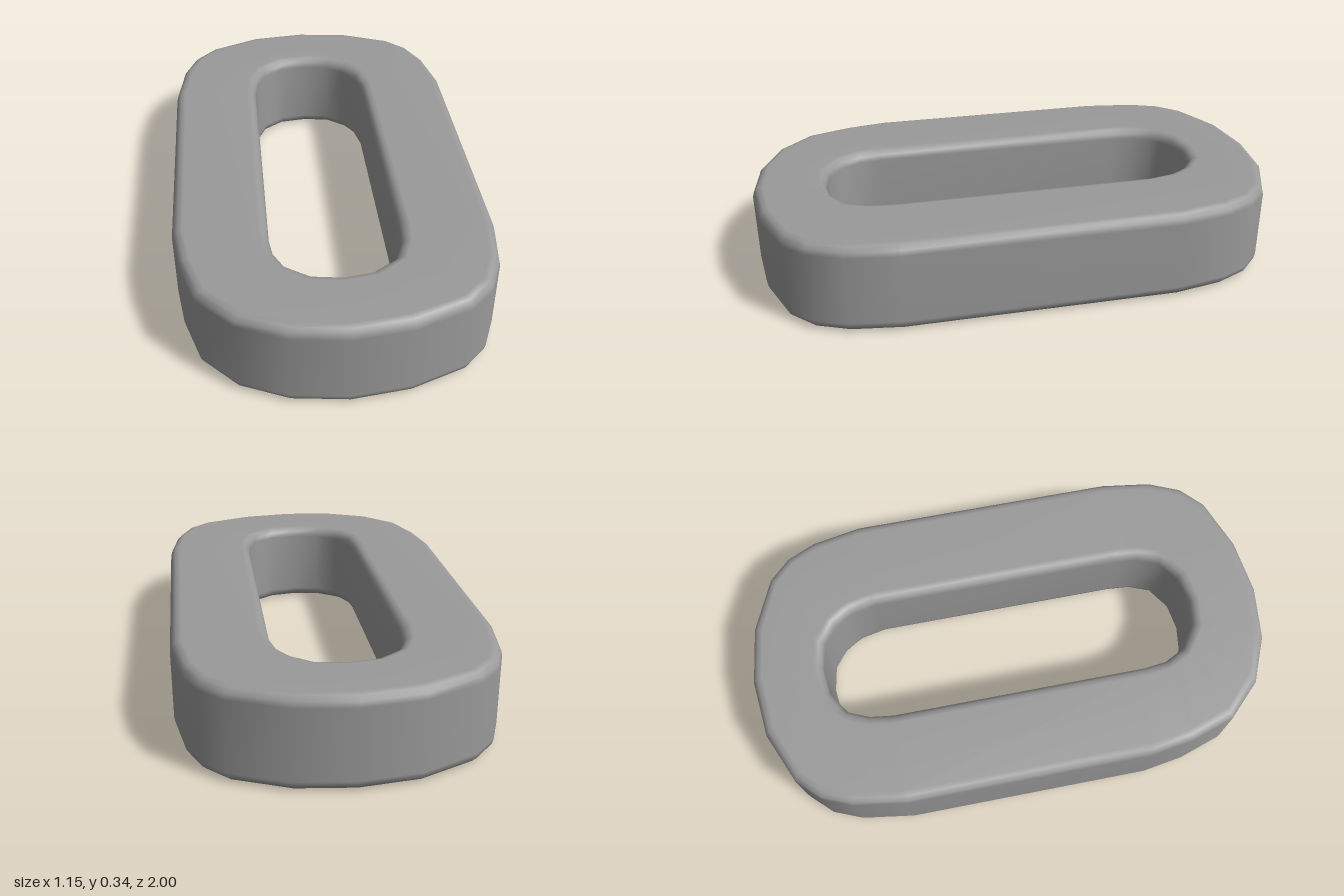
import * as THREE from 'three';

const HEIGHT = 0.34;
const BEVEL = 0.04;
const STEPS = 3;

// Matching outer and inner outline points [x, z], running from the back round by +x
const OUTER = [
  [0, -1], [0.21, -0.975], [0.41, -0.89], [0.49, -0.81], [0.54, -0.7], [0.575, -0.51],
  [0.575, 0.51], [0.547, 0.7], [0.495, 0.82], [0.41, 0.9], [0.21, 0.975], [0, 1],
  [-0.2, 0.975], [-0.37, 0.9], [-0.495, 0.77], [-0.55, 0.6], [-0.575, 0.44],
  [-0.575, -0.49], [-0.545, -0.69], [-0.5, -0.8], [-0.42, -0.885], [-0.22, -0.975],
];
const INNER = [
  [0, -0.727], [0.1, -0.71], [0.165, -0.66], [0.19, -0.622], [0.21, -0.587], [0.23, -0.49],
  [0.23, 0.48], [0.223, 0.57], [0.19, 0.655], [0.15, 0.68], [0.105, 0.71], [0, 0.725],
  [-0.1, 0.71], [-0.145, 0.68], [-0.185, 0.655], [-0.223, 0.58], [-0.234, 0.49],
  [-0.234, -0.49], [-0.222, -0.58], [-0.187, -0.66], [-0.15, -0.685], [-0.105, -0.715],
];

// Rounded rectangular section: [distance in from the outer or inner wall, y, wall]
function sectionPoints() {
  const points = [];
  const corner = (wall, top, start) => {
    for (let s = 0; s <= STEPS; s++) {
      const a = (Math.PI / 2) * (start ? 1 - s / STEPS : s / STEPS);
      const inset = BEVEL * (1 - Math.cos(a));
      const drop = BEVEL * (1 - Math.sin(a));
      points.push([inset, top ? HEIGHT - drop : drop, wall]);
    }
  };
  corner('outer', false, true);
  corner('outer', true, false);
  corner('inner', true, true);
  corner('inner', false, false);
  return points;
}

// Sweep the section round the paired outlines
function linkGeometry() {
  const section = sectionPoints();
  const n = OUTER.length;
  const m = section.length;
  const positions = [];
  const indices = [];
  for (let i = 0; i < n; i++) {
    const out = new THREE.Vector2(...OUTER[i]);
    const inn = new THREE.Vector2(...INNER[i]);
    const across = inn.clone().sub(out).normalize();
    for (const [inset, y, wall] of section) {
      const p = wall === 'outer'
        ? out.clone().addScaledVector(across, inset)
        : inn.clone().addScaledVector(across, -inset);
      positions.push(p.x, y, p.y);
    }
    for (let j = 0; j < m; j++) {
      const a = i * m + j;
      const b = i * m + ((j + 1) % m);
      const c = ((i + 1) % n) * m + j;
      const d = ((i + 1) % n) * m + ((j + 1) % m);
      indices.push(a, b, c, b, d, c);
    }
  }
  const geometry = new THREE.BufferGeometry();
  geometry.setAttribute('position', new THREE.Float32BufferAttribute(positions, 3));
  geometry.setIndex(indices);
  geometry.computeVertexNormals();
  return geometry;
}

export function createModel() {
  const group = new THREE.Group();
  group.name = 'chainLink';
  const link = new THREE.Mesh(linkGeometry(), new THREE.MeshStandardMaterial({ color: 0x9a9a9a }));
  link.name = 'roundedLink';
  group.add(link);
  return group;
}
